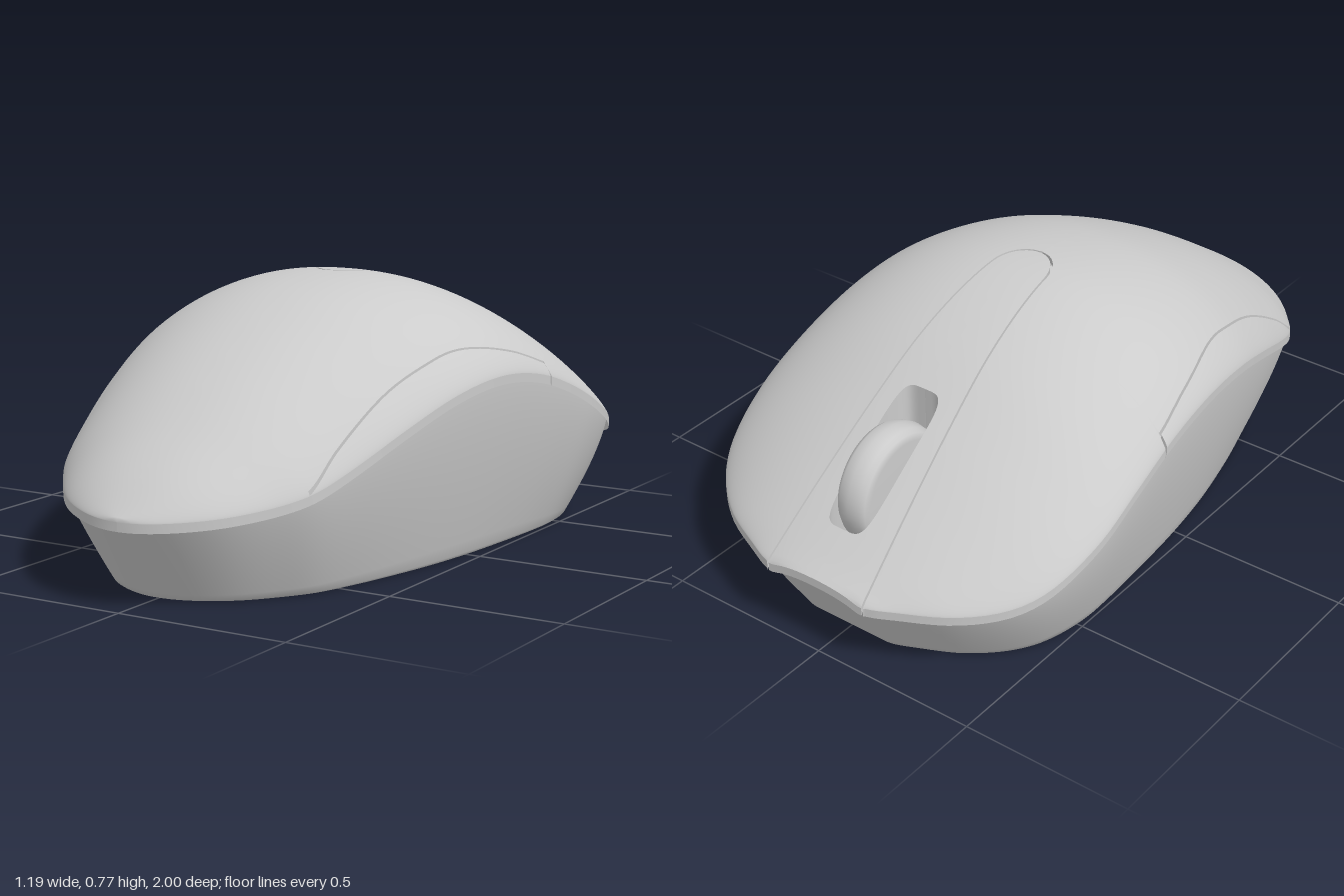
import * as THREE from 'three';
import { mergeGeometries } from 'three/addons/utils/BufferGeometryUtils.js';

// Smooth curve through [x, y] knots sorted by x
function spline(k) {
  const n = k.length - 1;
  const m = k.map((_, i) => {
    const a = k[Math.max(0, i - 1)], b = k[Math.min(n, i + 1)];
    return (b[1] - a[1]) / (b[0] - a[0]);
  });
  return (x) => {
    let i = 0;
    while (i < n - 1 && x > k[i + 1][0]) i++;
    const d = k[i + 1][0] - k[i][0], t = Math.min(1, Math.max(0, (x - k[i][0]) / d));
    const t2 = t * t, t3 = t2 * t;
    return k[i][1] * (2 * t3 - 3 * t2 + 1) + m[i] * d * (t3 - 2 * t2 + t)
      + k[i + 1][1] * (3 * t2 - 2 * t3) + m[i + 1] * d * (t3 - t2);
  };
}

// Plan half-width (over the angle, so the round end closes smoothly), seam height, spine height
const angle = (z) => Math.acos(Math.max(-1, Math.min(1, z)));
const plan = spline([[1, 0], [0.97, 0.125], [0.9, 0.235], [0.8, 0.325], [0.7, 0.393], [0.55, 0.448],
  [0.4, 0.49], [0.2, 0.535], [0, 0.565], [-0.2, 0.583], [-0.4, 0.595], [-0.55, 0.594], [-0.7, 0.56],
  [-0.8, 0.5], [-0.9, 0.385], [-0.97, 0.24], [-1, 0.14]].map(([z, w]) => [angle(z), w]));
const width = (z) => Math.max(0, plan(angle(z)));
const seam = spline([[-1, 0.22], [-0.8, 0.25], [-0.6, 0.335], [-0.4, 0.425], [-0.2, 0.49], [0, 0.513],
  [0.2, 0.487], [0.4, 0.42], [0.6, 0.335], [0.7, 0.295], [0.8, 0.268], [1, 0.235]]);
const spine = spline([[-1, 0.24], [-0.95, 0.275], [-0.8, 0.39], [-0.6, 0.535], [-0.4, 0.662], [-0.2, 0.742],
  [-0.03, 0.765], [0.2, 0.73], [0.4, 0.652], [0.6, 0.545], [0.8, 0.41], [0.9, 0.335], [1, 0.243]]);

// Height of the domed top
function height(x, z) {
  const w = width(z), u = w > 1e-5 ? Math.min(1, Math.abs(x) / w) : 1;
  return seam(z) + (spine(z) - seam(z)) * Math.pow(1 - Math.pow(u, 2.2), 0.75);
}

// Rows of z, crowded towards both ends
const span = (a, b, n) =>
  Array.from({ length: n + 1 }, (_, i) => a + (b - a) * (1 - Math.cos(Math.PI * i / n)) / 2);

// Grid of quads over rows of points
function grid(rows, flip = false) {
  const n = rows[0].length, idx = [];
  for (let i = 0; i < rows.length - 1; i++) for (let j = 0; j < n - 1; j++) {
    const a = i * n + j, b = a + n, c = a + 1, d = b + 1;
    idx.push(...(flip ? [a, c, b, c, d, b] : [a, b, c, c, b, d]));
  }
  const g = new THREE.BufferGeometry();
  g.setAttribute('position', new THREE.Float32BufferAttribute(rows.flat(2), 3));
  g.setIndex(idx);
  g.computeVertexNormals();
  return g;
}

// Piece of the dome between inner(z) and outer(z) on one side, with edges turned down
function patch(side, zs, inner, outer, { n = 20, sink = 0, edge = 0.025, innerEdge = () => edge } = {}) {
  const rows = zs.map((z) => Array.from({ length: n + 1 }, (_, j) => {
    const a = inner(z), b = Math.max(a, outer(z));
    const x = a + (b - a) * Math.sin(j / n * Math.PI / 2);
    return [side * x, height(x, z) - sink, z];
  }));
  const skirt = (line, depth) => grid([line, line.map(([x, y, z]) => [x, y - depth(z), z])]);
  const parts = [grid(rows, side < 0)];
  if (edge > 0) {
    const flat = () => edge;
    parts.push(skirt(rows.map((r) => r[0]), innerEdge), skirt(rows.map((r) => r[n]), flat),
      skirt(rows[0], flat), skirt(rows[rows.length - 1], flat));
  }
  return mergeGeometries(parts);
}

// Seam lines: centre strip, wheel slot and side grips
const GAP = 0.005, TIP = -0.02, GRIP_BACK = -0.25, GRIP_FRONT = 0.71;
function stripHalf(z) {
  if (z >= TIP) return 0;
  const w = 0.16 - 0.075 * (z + 1) / 0.88;
  const t = Math.max(0, (z + 0.12) / (TIP + 0.12));
  return w * Math.sqrt(Math.max(0, 1 - t * t));
}
function slotHalf(z) {
  const t = Math.abs(z + 0.705) / 0.175;
  return t >= 1 ? 0 : 0.07 * Math.pow(1 - t ** 5, 1 / 5);
}
const gripTop = spline([[-0.25, 0.512], [-0.1, 0.562], [0.07, 0.59], [0.2, 0.576], [0.4, 0.505],
  [0.6, 0.385], [0.71, 0.292]]);
function gripInner(z) {
  const v = Math.max(0, (gripTop(z) - seam(z)) / (spine(z) - seam(z)));
  return width(z) * Math.pow(1 - Math.pow(v, 4 / 3), 1 / 2.2);
}
const shellOuter = (z) =>
  (z > GRIP_BACK - 0.002 && z < GRIP_FRONT ? gripInner(z) - GAP : width(z));

// Lower body: flared wall from the flat base up to the seam
function bodyGeometry() {
  const zs = span(-1, 1, 90);
  const loop = [...zs.map((z) => [width(z), z]), ...zs.slice(0, -1).reverse().map((z) => [-width(z), z])];
  loop.push(loop[0]);
  const ring = (f, inset = 0) => loop.map(([x, z]) => {
    const sx = 0.82 + 0.17 * (1 - Math.pow(1 - f, 1.5)) - inset;
    const sz = 0.85 + 0.143 * f - inset;
    return [x * sx, f * seam(z), -0.015 * (1 - f) + z * sz];
  });
  const rows = [ring(0, 0.012)];
  for (let i = 0; i <= 14; i++) rows.push(ring(0.02 + 0.98 * i / 14));
  const base = rows[0], centre = base.map(() => [0, 0, 0]);
  return mergeGeometries([grid(rows), grid([centre, base])]);
}

export function createModel() {
  const model = new THREE.Group();
  const material = new THREE.MeshStandardMaterial({ color: 0xcccccc, roughness: 0.6, side: THREE.DoubleSide });
  const add = (name, geometry) => {
    const mesh = new THREE.Mesh(geometry, material);
    mesh.name = name;
    model.add(mesh);
    return mesh;
  };
  const both = (make) => mergeGeometries([make(1), make(-1)]);

  add('body', bodyGeometry());

  // Top shell with the two buttons
  const shellRows = [...span(-1, GRIP_BACK - 0.004, 44), ...span(GRIP_BACK, TIP + GAP, 30),
    ...span(TIP + 0.01, GRIP_FRONT - 0.001, 32), ...span(GRIP_FRONT, 1, 26)];
  const shellInner = (z) => (z < TIP + GAP ? stripHalf(z - GAP) + GAP * (stripHalf(z - GAP) > 0) : 0);
  add('topShell', both((s) => patch(s, shellRows, shellInner, shellOuter, { n: 28 })));

  // Centre strip with the wheel slot
  const stripRows = [...span(-1, -0.88, 8), ...span(-0.8799, -0.5301, 36), ...span(-0.53, TIP, 30)];
  add('centreStrip', both((s) => patch(s, stripRows, slotHalf, stripHalf, {
    n: 8, innerEdge: (z) => (slotHalf(z) > 0 ? height(0, z) - 0.22 : 0),
  })));

  // Side grips
  for (const s of [1, -1]) {
    add(s > 0 ? 'leftGrip' : 'rightGrip',
      patch(s, span(GRIP_BACK + 0.004, GRIP_FRONT, 50), gripInner, width, { n: 8 }));
  }

  // Inner liner closing the seams, and the floor of the wheel slot
  const linerRows = [...span(-0.985, -0.88, 8), ...span(-0.8799, -0.5301, 30), ...span(-0.53, 0.98, 60)];
  add('liner', both((s) => patch(s, linerRows, (z) => (slotHalf(z) > 0 ? slotHalf(z) + 0.004 : 0),
    (z) => Math.max(0, width(z) - 0.012), { n: 14, sink: 0.018, edge: 0 })));
  add('slotFloor', new THREE.BoxGeometry(0.15, 0.02, 0.36)).position.set(0, 0.22, -0.705);

  // Scroll wheel with rounded rim
  const profile = [[0, -0.052], [0.14, -0.052], [0.158, -0.046], [0.168, -0.032], [0.174, 0],
    [0.168, 0.032], [0.158, 0.046], [0.14, 0.052], [0, 0.052]].map(([r, y]) => new THREE.Vector2(r, y));
  const wheel = add('scrollWheel', new THREE.LatheGeometry(profile, 64));
  wheel.rotation.z = Math.PI / 2;
  wheel.position.set(0, 0.367, -0.685);

  return model;
}
